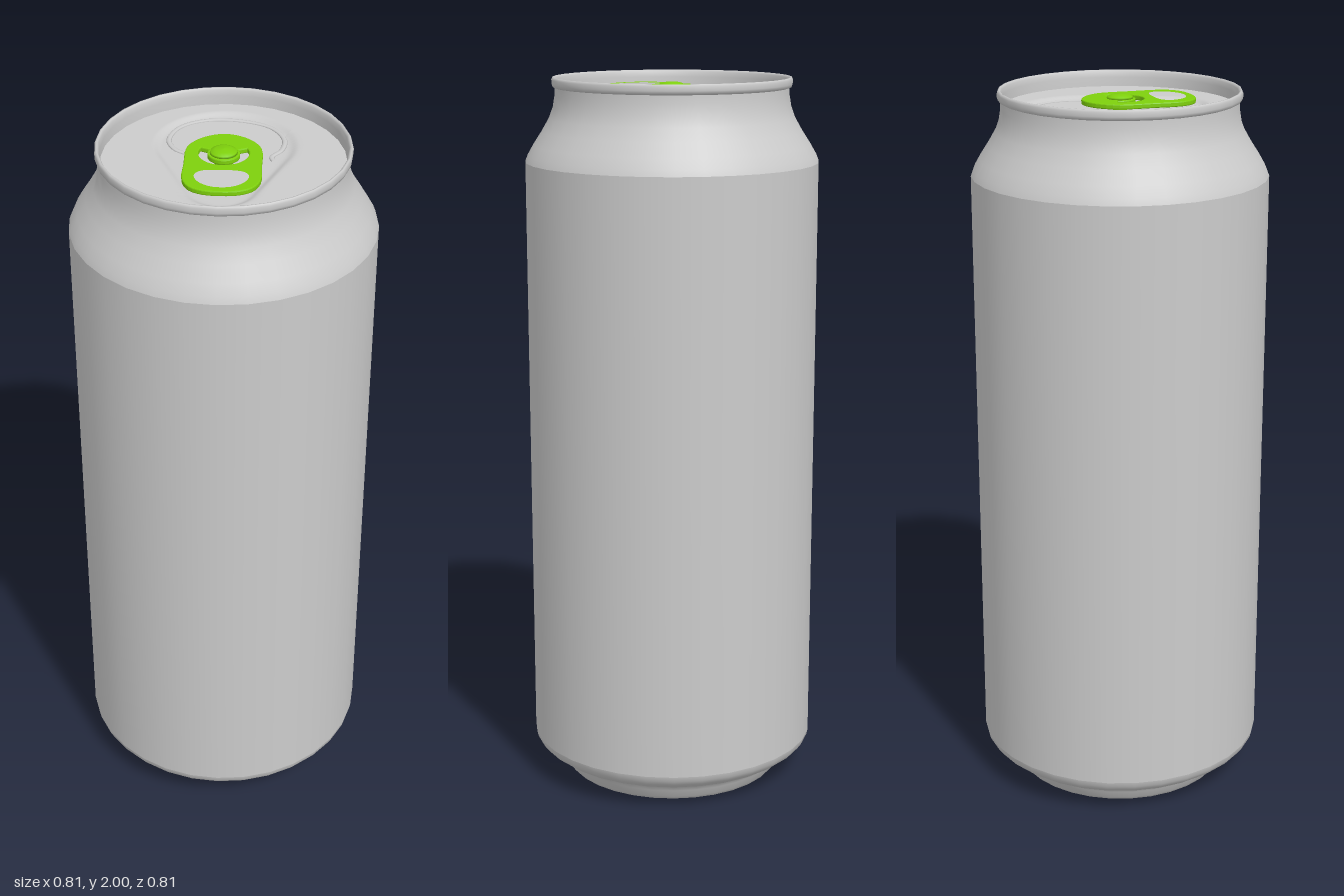
import * as THREE from 'three';

const SIDES = 32;
const LID_Y = 1.955;
const FLOOR_Y = 1.946;

const grey = new THREE.MeshStandardMaterial({ color: 0xcccccc, side: THREE.DoubleSide });
const green = new THREE.MeshStandardMaterial({ color: 0x7ed00c });

const vec2 = (pts) => pts.map(([x, y]) => new THREE.Vector2(x, y));

function add(parent, name, geometry, material = grey) {
  const mesh = new THREE.Mesh(geometry, material);
  mesh.name = name;
  parent.add(mesh);
  return mesh;
}

const lathe = (pts, sides = SIDES) => new THREE.LatheGeometry(vec2(pts), sides);

// Closed smooth outline from half of it, mirrored about the long axis
function mirroredOutline(half, PathType) {
  const mirrored = half.slice(1, -1).reverse().map(([x, y]) => [x, -y]);
  const curve = new THREE.CatmullRomCurve3(
    [...half, ...mirrored].map(([x, y]) => new THREE.Vector3(x, y, 0)), true);
  return new PathType(curve.getPoints(48).slice(0, -1).map((p) => new THREE.Vector2(p.x, p.y)));
}

// Signed distance to the teardrop recess: small round end, straight sides, large round end
function recessDistance(x, z) {
  const start = -0.148, length = 0.233, r1 = 0.1, r2 = 0.19;
  const along = (x - z) * Math.SQRT1_2 - start;
  const across = Math.abs(x + z) * Math.SQRT1_2;
  const b = (r1 - r2) / length, a = Math.sqrt(1 - b * b);
  const k = -b * across + a * along;
  if (k < 0) return Math.hypot(across, along) - r1;
  if (k > a * length) return Math.hypot(across, along - length) - r2;
  return across * a + along * b - r1;
}

// Lid disc with the recess pressed into it
function lidGeometry() {
  const geometry = new THREE.RingGeometry(0.002, 0.319, 96, 64);
  geometry.rotateX(-Math.PI / 2);
  const pos = geometry.attributes.position;
  for (let i = 0; i < pos.count; i++) {
    const d = recessDistance(pos.getX(i), pos.getZ(i));
    pos.setY(i, THREE.MathUtils.lerp(FLOOR_Y, LID_Y, THREE.MathUtils.smoothstep(d, -0.024, 0)));
  }
  geometry.computeVertexNormals();
  return geometry;
}

function tabGeometry() {
  const shape = mirroredOutline([
    [-0.205, 0], [-0.2, 0.045], [-0.18, 0.08], [-0.14, 0.099], [-0.06, 0.099],
    [0.03, 0.096], [0.075, 0.067], [0.099, 0.03], [0.105, 0],
  ], THREE.Shape);

  // Finger hole
  shape.holes.push(mirroredOutline([
    [-0.186, 0], [-0.18, 0.032], [-0.155, 0.062], [-0.12, 0.072], [-0.097, 0.055], [-0.09, 0],
  ], THREE.Path));

  // C-shaped slot around the rivet
  const slot = new THREE.Path();
  const from = 1.15, to = Math.PI * 2 - from;
  slot.absarc(0, 0, 0.065, from, to, false);
  slot.absarc(0, 0, 0.042, to, from, true);
  slot.closePath();
  shape.holes.push(slot);

  const geometry = new THREE.ExtrudeGeometry(shape, {
    depth: 0.008, curveSegments: 20,
    bevelEnabled: true, bevelThickness: 0.003, bevelSize: 0.003, bevelOffset: -0.003, bevelSegments: 2,
  });
  geometry.rotateX(-Math.PI / 2);
  return geometry;
}

export function createModel() {
  const can = new THREE.Group();
  can.name = 'drinkCan';

  // Underside: domed base and foot ring
  add(can, 'baseDome', lathe([
    [0, 0.075], [0.08, 0.071], [0.15, 0.06], [0.21, 0.043], [0.255, 0.024], [0.285, 0.006], [0.295, 0],
  ]));
  add(can, 'footRing', lathe([
    [0.295, 0], [0.305, 0.002], [0.313, 0.012], [0.325, 0.035], [0.331, 0.049],
    [0.345, 0.057], [0.37, 0.067], [0.392, 0.084], [0.402, 0.098], [0.405, 0.112],
  ]));

  // Straight wall and tapered neck
  add(can, 'body', lathe([[0.405, 0.112], [0.405, 1.772]]));
  add(can, 'neck', lathe([
    [0.405, 1.772], [0.398, 1.79], [0.382, 1.818], [0.358, 1.855], [0.338, 1.89],
    [0.327, 1.92], [0.322, 1.95], [0.321, 1.972],
  ]));

  // Rolled rim and the inner wall down to the lid
  add(can, 'rim', lathe([
    [0.321, 1.972], [0.328, 1.975], [0.33, 1.983], [0.33, 1.994], [0.327, 2],
    [0.323, 2], [0.319, 1.994], [0.317, 1.98], [0.316, LID_Y - 0.003],
  ]));

  add(can, 'lid', lidGeometry());

  // Raised bead around the pour opening
  const beadPath = new THREE.CatmullRomCurve3([
    [-0.036, -0.09], [-0.045, -0.135], [-0.022, -0.188], [0.045, -0.222], [0.12, -0.207],
    [0.187, -0.145], [0.222, -0.06], [0.203, 0.012], [0.155, 0.052], [0.11, 0.062], [0.1, 0.082],
  ].map(([x, z]) => new THREE.Vector3(x, 0, z)));
  const bead = add(can, 'openingBead', new THREE.TubeGeometry(beadPath, 64, 0.007, 8));
  bead.scale.y = 0.55;
  bead.position.y = FLOOR_Y;

  // Pull tab and its rivet, turned to point at the opening
  const pullTab = new THREE.Group();
  pullTab.name = 'pullTab';
  pullTab.rotation.y = Math.PI / 4;
  can.add(pullTab);
  add(pullTab, 'tabPlate', tabGeometry(), green).position.y = 1.964;
  add(pullTab, 'rivet', lathe([
    [0.024, FLOOR_Y - 0.002], [0.024, 1.972], [0.036, 1.975], [0.034, 1.98], [0.022, 1.985], [0, 1.987],
  ], 20), green);

  return can;
}
